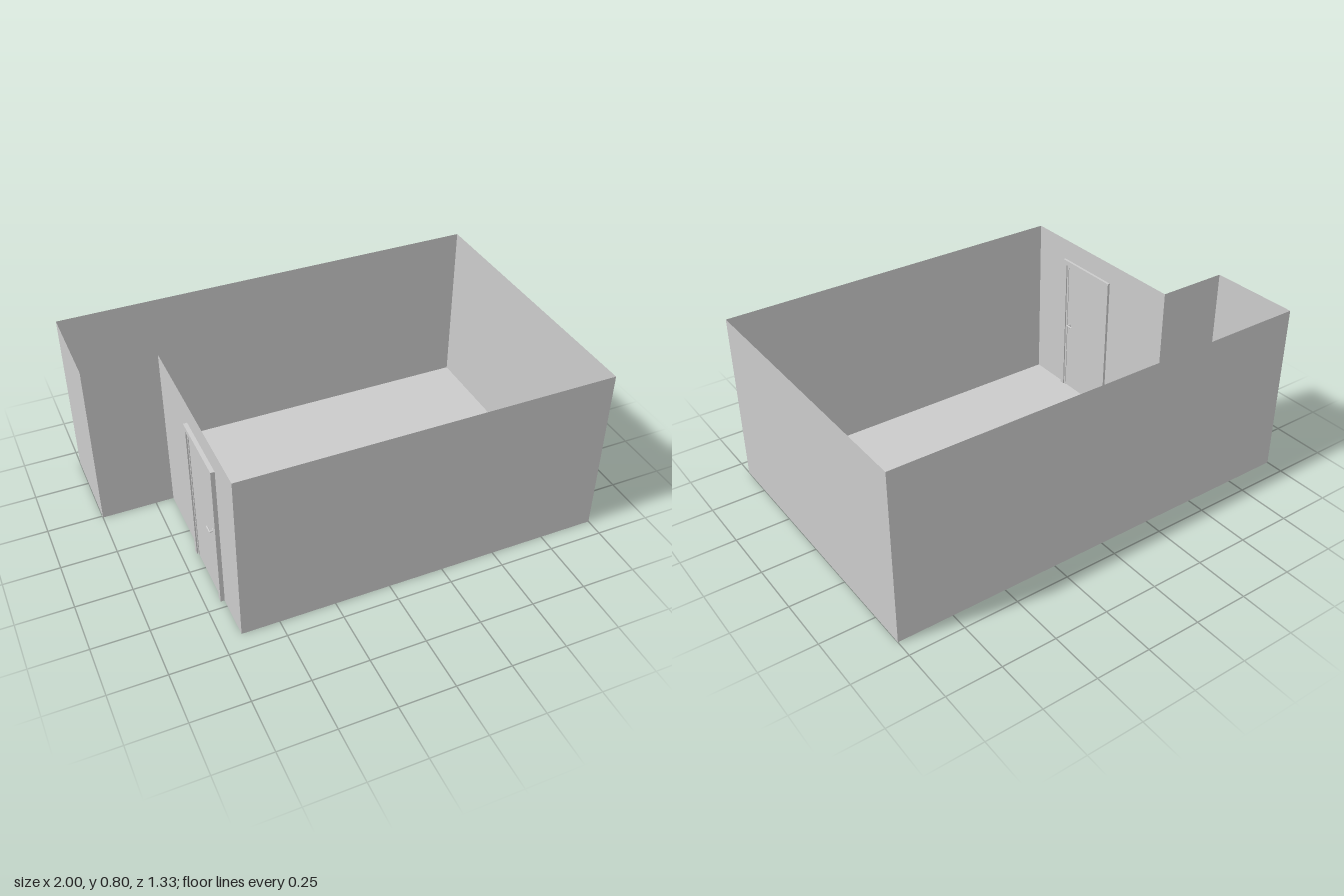
import * as THREE from 'three';

const H = 0.8;
const DOOR_X = -0.667, DOOR_Z0 = 0.13, DOOR_Z1 = 0.465, DOOR_H = 0.7;

const grey = new THREE.MeshStandardMaterial({ color: 0xcccccc, flatShading: true });
const thin = new THREE.MeshStandardMaterial({ color: 0xcccccc, side: THREE.DoubleSide });

function add(parent, name, geometry, material = grey) {
  const mesh = new THREE.Mesh(geometry, material);
  mesh.name = name;
  parent.add(mesh);
  return mesh;
}

const polygon = (pts) => new THREE.Shape(pts.map(([a, b]) => new THREE.Vector2(a, b)));

// Upside-down U around the doorway, drawn in (z, y), between two insets
function archShape(outer, inner) {
  const a = DOOR_Z0 + outer, b = DOOR_Z1 - outer, t = DOOR_H - outer;
  const c = DOOR_Z0 + inner, d = DOOR_Z1 - inner, u = DOOR_H - inner;
  return polygon([[a, 0], [c, 0], [c, u], [d, u], [d, 0], [b, 0], [b, t], [a, t]]);
}

// Extrude a (z, y) shape between two x positions
function extrudeX(shape, x0, x1) {
  return new THREE.ExtrudeGeometry(shape, { depth: x1 - x0, bevelEnabled: false })
    .rotateY(-Math.PI / 2).translate(x1, 0, 0);
}

function lathedAlongX(radius, x0, x1, y, z) {
  return new THREE.CylinderGeometry(radius, radius, x1 - x0, 16)
    .rotateZ(Math.PI / 2).translate((x0 + x1) / 2, y, z);
}

export function createModel() {
  const model = new THREE.Group();
  model.name = 'room';

  // L-shaped outline in (x, z)
  const plan = [[-1, -0.667], [1, -0.667], [1, 0.667], [DOOR_X, 0.667], [DOOR_X, -0.24], [-1, -0.24]];

  // Floor
  add(model, 'floor', new THREE.ShapeGeometry(polygon(plan)).rotateX(Math.PI / 2), thin);

  // Thin walls; the one on the inner side has the doorway
  const walls = new THREE.Group();
  walls.name = 'walls';
  model.add(walls);
  plan.forEach(([x0, z0], i) => {
    const [x1, z1] = plan[(i + 1) % plan.length];
    if (i === 3) {
      const e = 0.012;
      const a = DOOR_Z0 + e, b = DOOR_Z1 - e, t = DOOR_H - e;
      const shape = polygon([[z1, 0], [a, 0], [a, t], [b, t], [b, 0], [z0, 0], [z0, H], [z1, H]]);
      add(walls, 'doorWall', new THREE.ShapeGeometry(shape).rotateY(-Math.PI / 2).translate(DOOR_X, 0, 0), thin);
      return;
    }
    const wall = add(walls, 'wall', new THREE.PlaneGeometry(Math.hypot(x1 - x0, z1 - z0), H), thin);
    wall.position.set((x0 + x1) / 2, H / 2, (z0 + z1) / 2);
    wall.rotation.y = -Math.atan2(z1 - z0, x1 - x0);
  });

  const door = new THREE.Group();
  door.name = 'door';
  model.add(door);

  // Stepped frame and leaf
  add(door, 'doorCasing', extrudeX(archShape(0, 0.024), -0.685, -0.655));
  add(door, 'doorStop', extrudeX(archShape(0.024, 0.034), -0.679, -0.661));
  const leafW = DOOR_Z1 - DOOR_Z0 - 0.068, leafH = DOOR_H - 0.034;
  add(door, 'doorLeaf', new THREE.BoxGeometry(0.012, leafH, leafW)
    .translate(-0.67, leafH / 2, (DOOR_Z0 + DOOR_Z1) / 2));

  // Lever handle on each face of the leaf
  const hy = 0.355, hz = 0.413;
  for (const side of [-1, 1]) {
    const handle = new THREE.Group();
    handle.name = 'doorHandle';
    handle.position.x = -0.67;
    const span = (a, b) => (side > 0 ? [a, b] : [-b, -a]);
    add(handle, 'rose', lathedAlongX(0.011, ...span(0.005, 0.01), hy, hz));
    add(handle, 'spindle', lathedAlongX(0.004, ...span(0.008, 0.024), hy, hz));
    add(handle, 'lever', new THREE.CapsuleGeometry(0.004, 0.036, 4, 12)
      .rotateX(Math.PI / 2).translate(side * 0.022, hy, hz - 0.016));
    door.add(handle);
  }
  return model;
}
